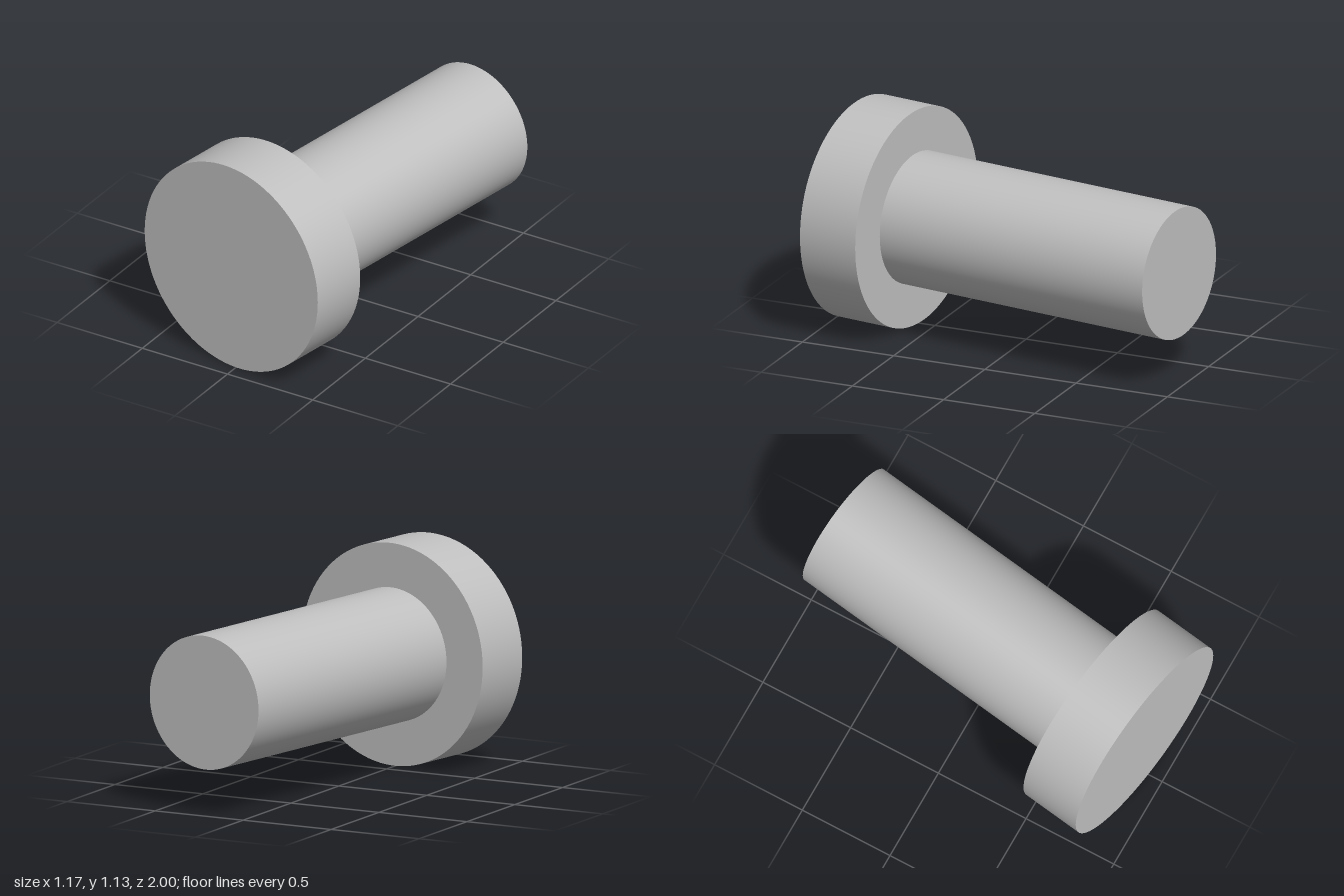
import * as THREE from 'three';

export function createModel() {
  const model = new THREE.Group();
  model.name = 'headedPin';
  const grey = new THREE.MeshStandardMaterial({ color: 0xbfbfbf });
  grey.name = 'plain grey';

  // Pin frame: local z = 0 is the head's front face, the shaft runs towards -z
  const pin = new THREE.Group();
  pin.name = 'pin';
  pin.position.set(-0.03, 0.566, 0.916);
  pin.rotation.y = -0.148;
  model.add(pin);

  // Profile turned around the pin's axis, as [radius, z] pairs
  const addTurned = (name, profile) => {
    const points = profile.map(([r, z]) => new THREE.Vector2(r, z));
    // Each straight run is its own surface, so the edges stay sharp
    const part = new THREE.Group();
    part.name = name;
    for (let i = 0; i < points.length - 1; i++) {
      const geometry = new THREE.LatheGeometry([points[i], points[i + 1]], 96);
      geometry.rotateX(Math.PI / 2);
      const mesh = new THREE.Mesh(geometry, grey);
      mesh.name = name + 'Surface' + (i + 1);
      part.add(mesh);
    }
    pin.add(part);
  };

  // Head: back ring, rim and front face
  addTurned('head', [[0.34, -0.328], [0.566, -0.328], [0.566, 0], [0, 0]]);
  // Shaft: end face and side, meeting the head's back ring
  addTurned('shaft', [[0, -1.887], [0.34, -1.887], [0.34, -0.328]]);

  return model;
}
